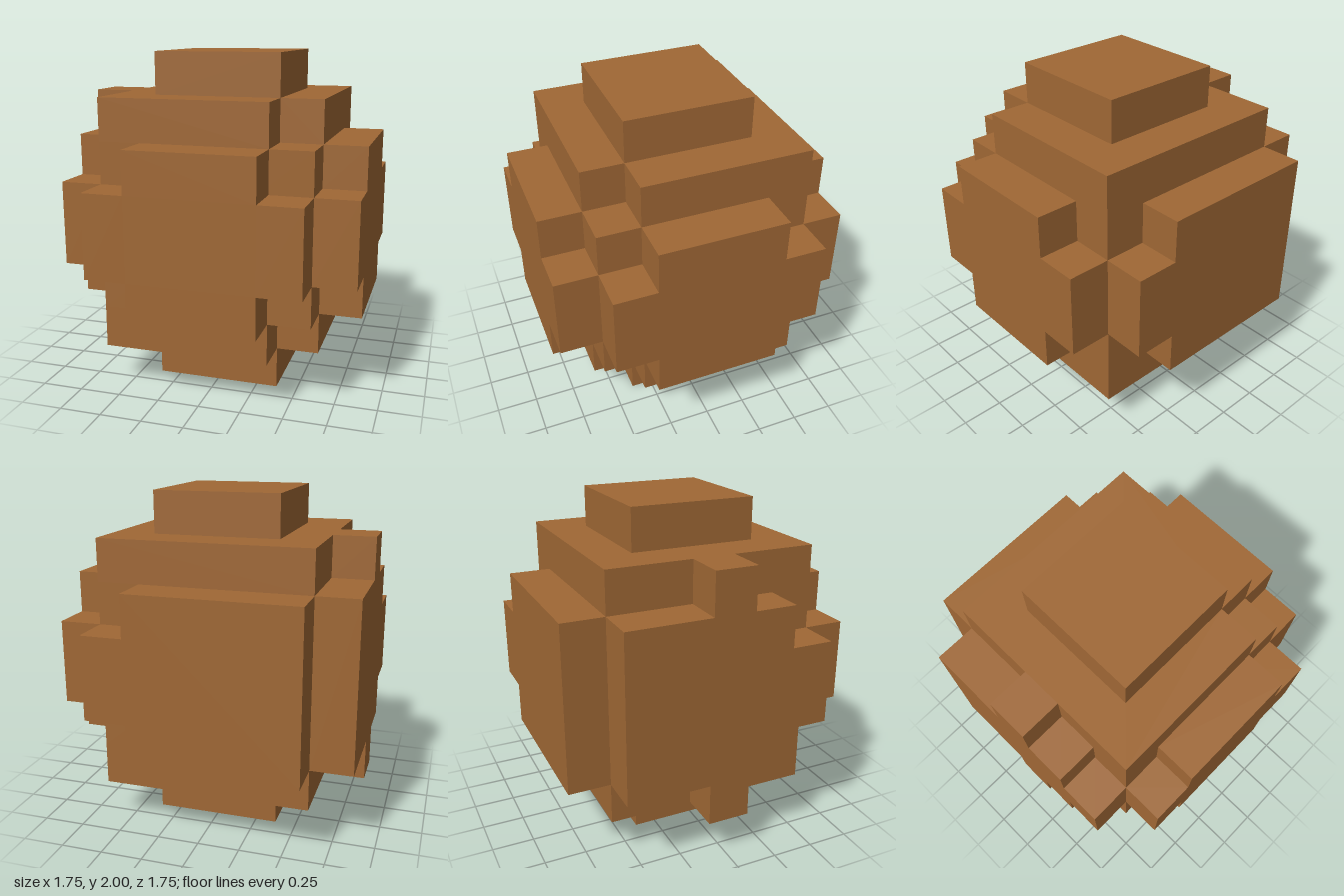
import * as THREE from 'three';

const CELL = 0.25;
const MID = 1; // height of the mirror plane

export function createModel() {
  const model = new THREE.Group();
  model.name = 'blockCluster';
  const brown = new THREE.MeshStandardMaterial({ color: 0xa06835 });
  brown.name = 'warm brown';

  const add = (name, geometry) => {
    const mesh = new THREE.Mesh(geometry, brown);
    mesh.name = name;
    model.add(mesh);
    return mesh;
  };
  const box = (name, w, h, d, y) => add(name, new THREE.BoxGeometry(w, h, d)).position.set(0, y, 0);

  // Extrude a closed outline of [u, v] points by one cell
  const slab = (points) => new THREE.ExtrudeGeometry(
    new THREE.Shape(points.map(([u, v]) => new THREE.Vector2(u, v))),
    { depth: CELL, bevelEnabled: false });

  // Central body
  box('core', 1.25, 1, 1.25, MID);

  // Body layers with the front left corner cut away, and the small end caps
  const notched = [[-0.625, -0.625], [0.375, -0.625], [0.375, -0.375],
    [0.625, -0.375], [0.625, 0.625], [-0.625, 0.625]];
  for (const [name, base, capY] of [['upper', 1.5, 1.875], ['lower', 0.25, 0.125]]) {
    const layer = slab(notched);
    layer.rotateX(-Math.PI / 2);
    layer.translate(0, base, 0);
    add(name + 'Layer', layer);
    box(name + 'Cap', 0.75, CELL, 0.75, capY);
  }

  // Side panels: steps of [start, end, half height], mirrored above and below MID
  const stepped = [[-0.625, -0.375, 0.25], [-0.375, 0.375, 0.5], [0.375, 0.625, 0.25]];
  const panels = [
    ['frontPanel', 0, stepped],
    ['leftPanel', Math.PI / 2, stepped],
    ['backPanel', Math.PI, [[-0.625, -0.375, 0.25], [-0.375, 0.625, 0.5]]],
    ['rightPanel', -Math.PI / 2, [[-0.625, -0.125, 0.5], [-0.125, 0.125, 0.75],
      [0.125, 0.375, 0.5], [0.375, 0.625, 0.25]]],
  ];
  for (const [name, angle, steps] of panels) {
    const top = steps.flatMap(([a, b, h]) => [[a, h], [b, h]]);
    const bottom = top.map(([u, h]) => [u, -h]);
    const geometry = slab([...bottom, ...top.reverse()]);
    geometry.translate(0, MID, 0.625);
    geometry.rotateY(angle);
    add(name, geometry);
  }
  return model;
}
